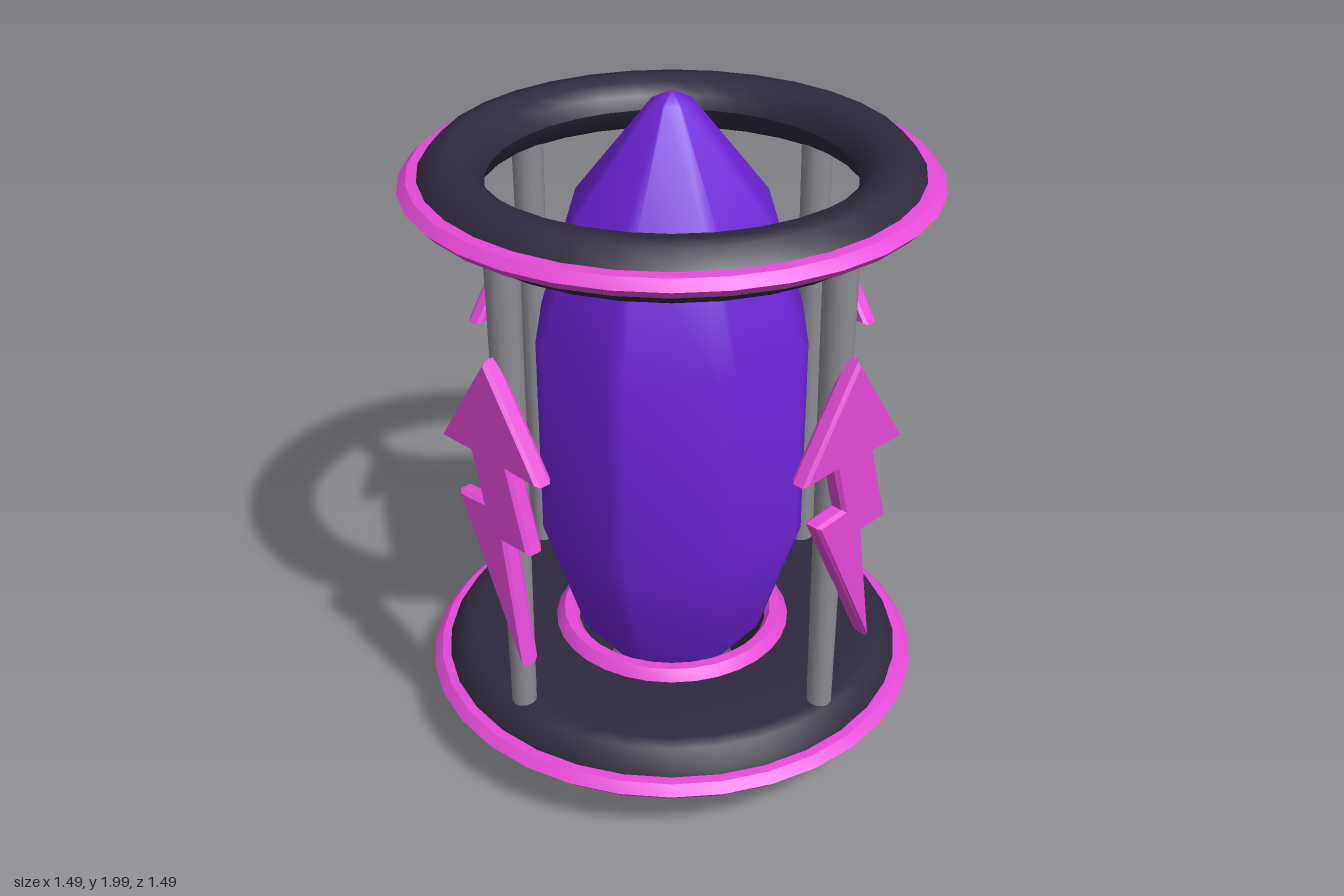
import * as THREE from 'three';
import { mergeVertices, toCreasedNormals } from 'three/addons/utils/BufferGeometryUtils.js';

const paint = (color) => new THREE.MeshStandardMaterial({ color });
const purple = paint(0x6f24d8);
const pink = paint(0xe64ad8);
const dark = paint(0x2e293d);
const metal = paint(0x8c8c94);

function add(parent, name, geometry, material) {
  const mesh = new THREE.Mesh(geometry, material);
  mesh.name = name;
  parent.add(mesh);
  return mesh;
}

// Closed [radius, height] section, counter-clockwise, turned around y
function turned(section, crease) {
  const points = [...section, section[0]].map(([r, y]) => new THREE.Vector2(r, y));
  const geometry = new THREE.LatheGeometry(points, 32);
  return crease ? toCreasedNormals(geometry, crease) : geometry;
}

// Octagonal crystal with narrow bevels on its long edges
function crystalGeometry() {
  const profile = [[0, 0.01], [0.055, 0.04], [0.27, 0.33], [0.38, 0.7], [0.38, 1.31],
    [0.27, 1.68], [0.055, 1.97], [0, 2]];
  const geometry = new THREE.LatheGeometry(profile.map(([r, y]) => new THREE.Vector2(r, y)), 16);
  const position = geometry.attributes.position;
  const bevel = THREE.MathUtils.degToRad(3.5);
  for (let i = 0; i <= 16; i++) {
    const angle = Math.floor(i / 2) * Math.PI / 4 + Math.PI / 8 + (i % 2 ? bevel : -bevel);
    profile.forEach(([r, y], j) => {
      const radius = r / Math.cos(Math.PI / 8 - bevel);
      position.setXYZ(i * profile.length + j, radius * Math.sin(angle), y, radius * Math.cos(angle));
    });
  }
  geometry.deleteAttribute('uv');
  geometry.deleteAttribute('normal');
  const merged = mergeVertices(geometry, 1e-4);
  merged.computeVertexNormals();
  return merged;
}

// Bevelled lightning bolt, facing +z
function boltGeometry() {
  const outline = [[0, 1.44], [-0.2, 1.14], [-0.075, 1.14], [-0.035, 1.0], [-0.14, 0.99],
    [0.105, 0.51], [0.05, 0.9], [0.15, 0.905], [0.08, 1.14], [0.2, 1.14]];
  const shape = new THREE.Shape(outline.map(([x, y]) => new THREE.Vector2(x, y)));
  return new THREE.ExtrudeGeometry(shape, {
    depth: 0.033, bevelEnabled: true, bevelThickness: 0.011, bevelSize: 0.01,
    bevelOffset: -0.01, bevelSegments: 1,
  });
}

export function createModel() {
  const model = new THREE.Group();
  model.name = 'crystalCage';

  add(model, 'crystal', crystalGeometry(), purple);

  // Open ring at the top
  add(model, 'topRing', turned([[0.51, 1.76], [0.535, 1.705], [0.58, 1.68], [0.635, 1.68],
    [0.69, 1.735], [0.705, 1.76], [0.69, 1.79], [0.65, 1.835], [0.61, 1.84], [0.56, 1.83],
    [0.525, 1.8]]), dark);

  // Base disc with a hole that narrows downwards
  add(model, 'baseDisc', turned([[0.2, 0.1], [0.625, 0.1], [0.69, 0.165], [0.705, 0.2],
    [0.69, 0.24], [0.65, 0.295], [0.61, 0.3], [0.3, 0.3]], 0.9), dark);

  // Bright rims around both rings
  const rim = turned([[0.68, -0.03], [0.72, -0.026], [0.745, 0], [0.72, 0.026], [0.68, 0.03]], 0.5);
  for (const [name, y] of [['baseRim', 0.2], ['topRim', 1.76]]) {
    add(model, name, rim, pink).position.y = y;
  }

  // Collar around the foot of the crystal
  add(model, 'collar', turned([[0.29, 0.28], [0.37, 0.28], [0.36, 0.3], [0.335, 0.33],
    [0.305, 0.33], [0.29, 0.31]], 0.5), pink);

  // Four columns, each carrying a bolt on its outer side
  const columnShape = new THREE.CylinderGeometry(0.048, 0.036, 1.44, 12);
  const boltShape = boltGeometry();
  for (let i = 0; i < 4; i++) {
    const side = new THREE.Group();
    side.name = `columnWithBolt${i + 1}`;
    side.rotation.y = i * Math.PI / 2;
    add(side, 'column', columnShape, metal).position.set(0, 1.0, 0.607);
    add(side, 'bolt', boltShape, pink).position.z = 0.646;
    model.add(side);
  }
  return model;
}
